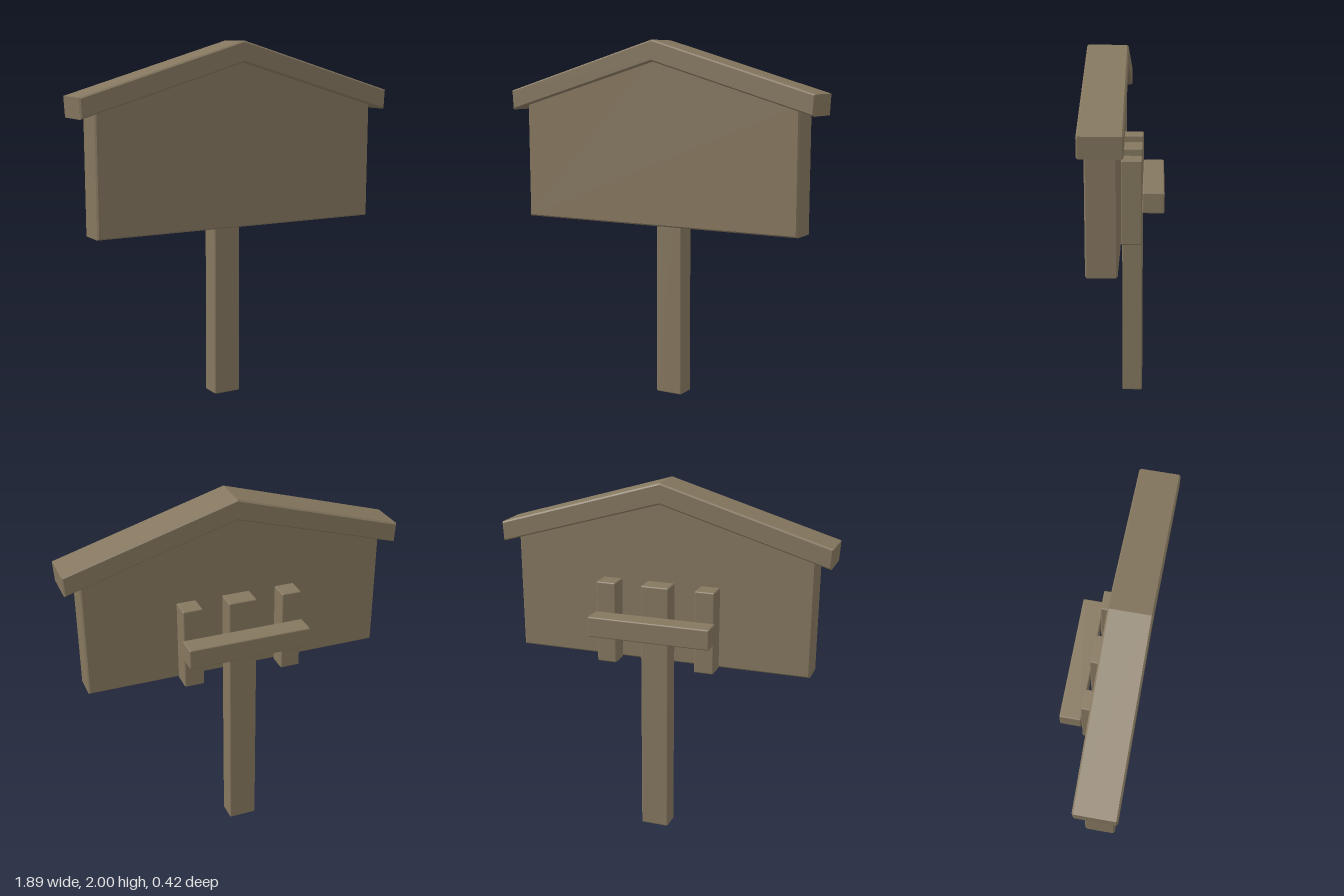
import * as THREE from 'three';
import { RoundedBoxGeometry } from 'three/addons/geometries/RoundedBoxGeometry.js';

const BEVEL = 0.008;

export function createModel() {
  const group = new THREE.Group();
  group.name = 'signpost';
  const wood = new THREE.MeshStandardMaterial({ color: 0x85775f });

  const add = (name, geometry) => {
    const mesh = new THREE.Mesh(geometry, wood);
    mesh.name = name;
    group.add(mesh);
  };

  // Softly rounded timber given by its extents on each axis
  const beam = (name, [x0, x1], [y0, y1], [z0, z1]) => {
    const geometry = new RoundedBoxGeometry(x1 - x0, y1 - y0, z1 - z0, 2, BEVEL);
    geometry.translate((x0 + x1) / 2, (y0 + y1) / 2, (z0 + z1) / 2);
    add(name, geometry);
  };

  // Mirrored outline (right half, listed from bottom to top), extruded from z0 to z1
  const panel = (name, outline, z0, z1) => {
    const shape = new THREE.Shape(outline.map(([x, y]) => new THREE.Vector2(x, y)));
    const geometry = new THREE.ExtrudeGeometry(shape, {
      depth: z1 - z0 - 2 * BEVEL,
      bevelThickness: BEVEL,
      bevelSize: BEVEL,
      bevelOffset: -BEVEL,
      bevelSegments: 1,
    });
    geometry.translate(0, 0, z0 + BEVEL);
    add(name, geometry);
  };

  // Sign board with a gabled top tucked under the roof
  panel('board', [[-0.85, 0.99], [0.85, 0.99], [0.853, 1.67], [0, 1.92], [-0.853, 1.67]], 0.02, 0.18);

  // Chevron roof cap
  panel('roof', [
    [0, 1.885], [0.94, 1.61], [0.947, 1.72],
    [0, 2], [-0.947, 1.72], [-0.94, 1.61],
  ], -0.012, 0.21);

  // Post and rear supports
  beam('post', [-0.08, 0.08], [0, 1.45], [-0.092, 0.022]);
  beam('leftBatten', [0.228, 0.34], [0.985, 1.45], [-0.092, 0.022]);
  beam('rightBatten', [-0.34, -0.228], [0.985, 1.45], [-0.092, 0.022]);
  beam('crossbar', [-0.348, 0.348], [1.165, 1.28], [-0.21, -0.092]);

  return group;
}
